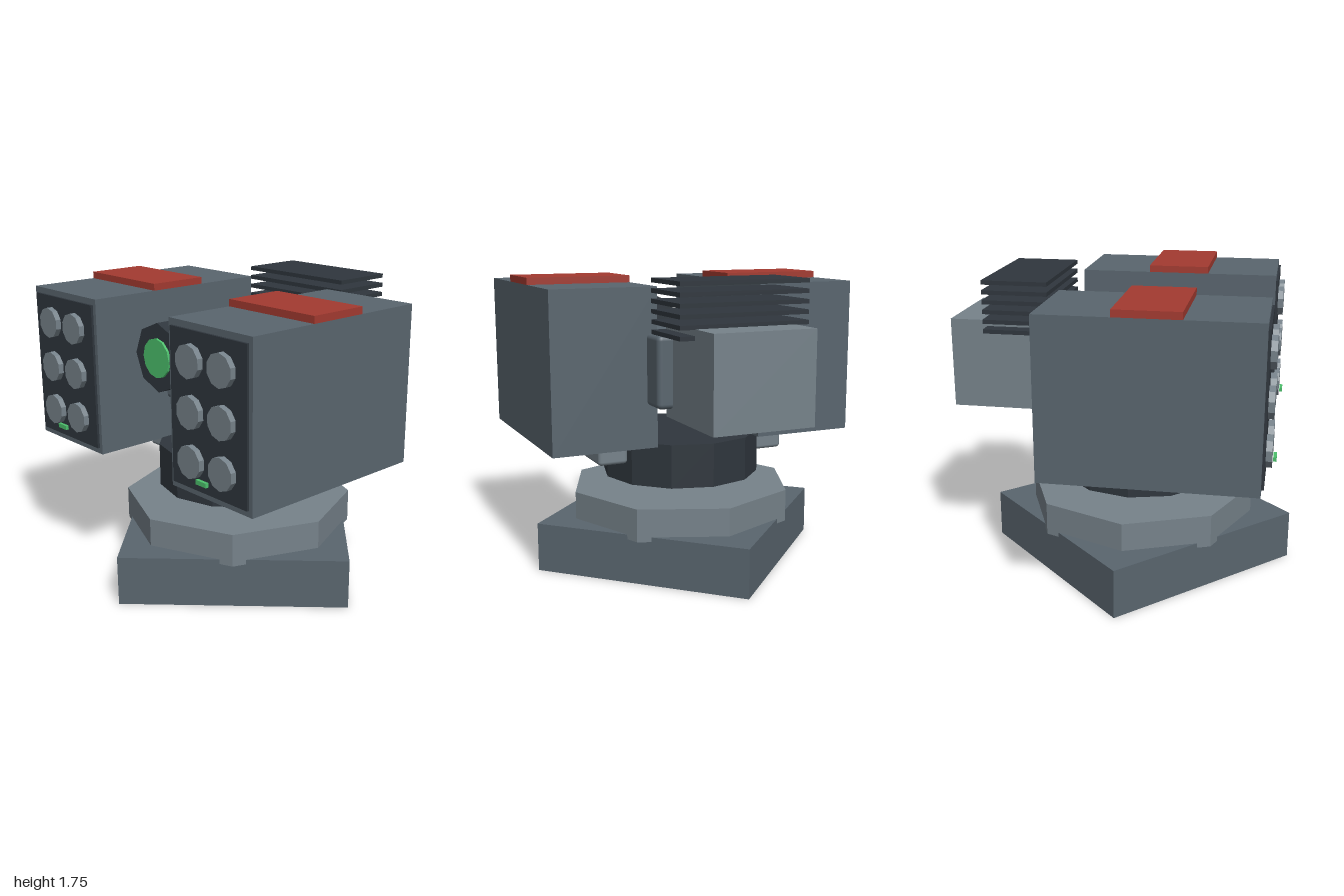
import * as THREE from 'three';
import { RoundedBoxGeometry } from 'three/addons/geometries/RoundedBoxGeometry.js';

const paint = (color, flatShading = true) => new THREE.MeshStandardMaterial({ color, flatShading });
const mid = paint(0x59656e);
const midSmooth = paint(0x59656e, false);
const light = paint(0x76828a);
const lightSmooth = paint(0x76828a, false);
const dark = paint(0x2f363d);
const red = paint(0xa33a30);
const green = paint(0x4cc06c);

function add(parent, name, geometry, material, x, y, z) {
  const mesh = new THREE.Mesh(geometry, material);
  mesh.name = name;
  mesh.position.set(x, y, z);
  parent.add(mesh);
  return mesh;
}

// Box given by its extents [min, max] on each axis
function box(parent, name, material, [x0, x1], [y0, y1], [z0, z1], radius = 0) {
  const size = [x1 - x0, y1 - y0, z1 - z0];
  const geometry = radius
    ? new RoundedBoxGeometry(...size, 3, radius)
    : new THREE.BoxGeometry(...size);
  return add(parent, name, geometry, material, (x0 + x1) / 2, (y0 + y1) / 2, (z0 + z1) / 2);
}

// Upright prism standing on the turret axis
function drum(parent, name, material, radius, sides, y0, y1) {
  const geometry = new THREE.CylinderGeometry(radius, radius, y1 - y0, sides);
  return add(parent, name, geometry, material, 0, (y0 + y1) / 2, 0.075);
}

// Prism lying along z
function disc(parent, name, material, radius, sides, x, y, z0, z1) {
  const geometry = new THREE.CylinderGeometry(radius, radius, z1 - z0, sides).rotateX(Math.PI / 2);
  return add(parent, name, geometry, material, x, y, (z0 + z1) / 2);
}

// Launcher pod, modelled about its own centre line x = 0
function createPod(name) {
  const pod = new THREE.Group();
  pod.name = name;
  box(pod, 'podCasing', mid, [-0.31, 0.31], [0.785, 1.695], [-0.343, 0.843]);
  box(pod, 'podStripe', red, [-0.31, 0.31], [1.695, 1.735], [0.07, 0.43]);
  box(pod, 'podFacePlate', dark, [-0.285, 0.285], [0.82, 1.66], [0.843, 0.857]);
  for (const y of [0.975, 1.24, 1.505]) {
    for (const x of [-0.12, 0.12]) disc(pod, 'launchTube', light, 0.09, 10, x, y, 0.855, 0.89);
  }
  box(pod, 'podIndicator', green, [-0.04, 0.04], [0.885, 0.91], [0.893, 0.911]);
  box(pod, 'podBracket', lightSmooth, [-0.21, -0.03], [0.65, 0.83], [-0.13, 0.28], 0.022);
  return pod;
}

export function createModel() {
  const model = new THREE.Group();
  model.name = 'turret';

  // Pedestal
  drum(model, 'base', mid, 0.925, 4, 0, 0.29);
  drum(model, 'baseRing', light, 0.685, 8, 0.262, 0.455);
  drum(model, 'swivel', dark, 0.48, 12, 0.53, 0.788);

  // Central body and rear housing
  box(model, 'body', midSmooth, [-0.387, 0.387], [1.03, 1.44], [-0.5, 0.352], 0.03);
  box(model, 'rearHousing', light, [-0.3, 0.3], [0.975, 1.5], [-1, -0.41]);

  // Cooling fins
  for (let i = 0; i < 6; i++) {
    const y = 1.453 + i * 0.0562;
    box(model, 'coolingFin', dark, [-0.384, 0.384], [y - 0.012, y + 0.012], [-0.78, -0.4]);
  }

  // Sensor
  disc(model, 'sensorHousing', dark, 0.197, 8, 0, 1.392, 0.523, 0.668);
  disc(model, 'sensorLens', green, 0.112, 12, 0, 1.392, 0.65, 0.682);

  // Pods: the bracket sits on the inner half of each
  const left = createPod('leftPod');
  left.position.x = 0.635;
  const right = createPod('rightPod');
  right.position.x = -0.635;
  right.getObjectByName('podBracket').position.x *= -1;
  model.add(left, right);

  return model;
}
